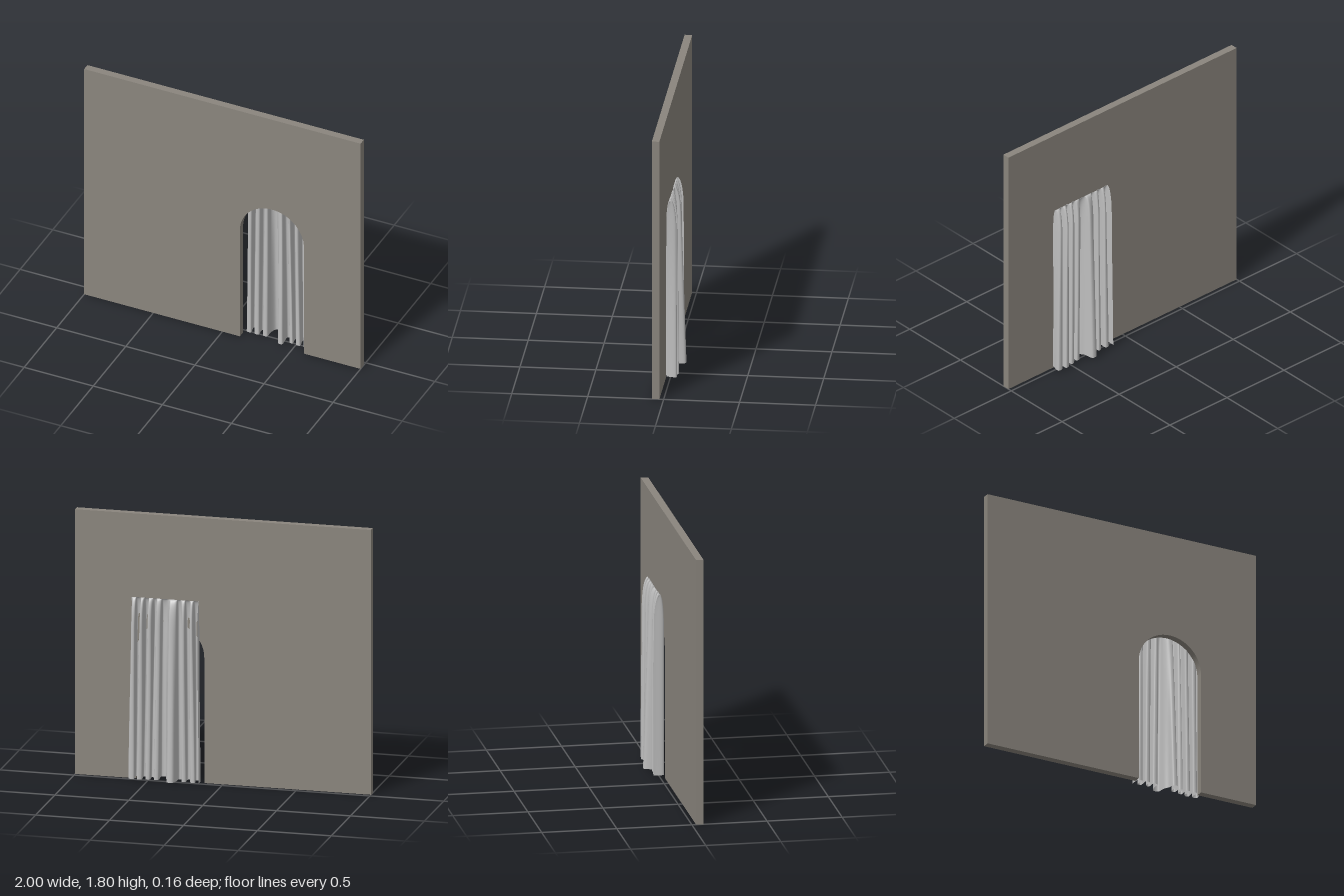
import * as THREE from 'three';

const wallMat = new THREE.MeshStandardMaterial({ color: 0x8a857d });
wallMat.name = 'warm grey plaster';
const clothMat = new THREE.MeshStandardMaterial({ color: 0xbebebe, side: THREE.DoubleSide });
clothMat.name = 'light grey cloth';

// Wall slab with an arched doorway cut up from the floor
function makeWall() {
  const left = 0.127, right = 0.59, spring = 0.85;
  const s = new THREE.Shape();
  s.moveTo(-1, 0);
  s.lineTo(left, 0);
  s.lineTo(left, spring);
  s.absarc((left + right) / 2, spring, (right - left) / 2, Math.PI, 0, true);
  s.lineTo(right, 0);
  s.lineTo(1, 0);
  s.lineTo(1, 1.8);
  s.lineTo(-1, 1.8);
  const geo = new THREE.ExtrudeGeometry(s, { depth: 0.05, bevelEnabled: false, curveSegments: 32 });
  geo.translate(0, 0, 0.028);
  const wall = new THREE.Mesh(geo, wallMat);
  wall.name = 'wall';
  return wall;
}

// Pleat crests along the hem as [x, z], alternating front and back
const hem = [
  [0.146, -0.045], [0.152, 0.025], [0.182, 0.026], [0.176, -0.034], [0.204, -0.036],
  [0.208, 0.027], [0.238, 0.026], [0.238, -0.028], [0.262, -0.034], [0.268, 0.022],
  [0.296, 0.022], [0.300, -0.030], [0.318, -0.074], [0.352, -0.074], [0.366, -0.012],
  [0.384, 0.018], [0.396, 0.062], [0.424, 0.062], [0.424, -0.024], [0.450, -0.030],
  [0.458, 0.020], [0.482, 0.026], [0.480, -0.034], [0.506, -0.038], [0.510, 0.028],
  [0.536, 0.028], [0.532, -0.042], [0.562, -0.050], [0.562, 0.028], [0.588, 0.028],
  [0.586, -0.040], [0.622, -0.042], [0.612, 0.024]
];

// One cross-section of the curtain; t runs from the hem (0) to the top (1)
function section(t) {
  const close = Math.sqrt(Math.max(0, 1 - Math.pow(Math.max(0, (t - 0.84) / 0.16), 2)));
  const pts = hem.map(([x, z], i) => {
    const even = 0.158 + 0.452 * i / (hem.length - 1);
    const sway = 0.004 * Math.sin(i * 1.9 + t * 3) * t;
    const limit = z > 0 ? 0.027 : -0.042;
    const topZ = z > 0 ? Math.min(z, limit) : Math.max(z * 0.9, limit);
    return new THREE.Vector3(
      THREE.MathUtils.lerp(x, even, t * 0.75) + sway,
      0.015 + 1.225 * t,
      THREE.MathUtils.lerp(z, topZ, Math.min(1, t * 1.15)) * close
    );
  });
  return new THREE.CatmullRomCurve3(pts, false, 'centripetal');
}

// Pleated cloth, gathered to a line at the top
function makeCurtain() {
  const cols = (hem.length - 1) * 8, rows = 36;
  const pos = [], idx = [];
  for (let r = 0; r <= rows; r++) {
    const curve = section(1 - Math.pow(1 - r / rows, 1.8));
    for (let c = 0; c <= cols; c++) pos.push(...curve.getPoint(c / cols).toArray());
  }
  for (let r = 0; r < rows; r++) {
    for (let c = 0; c < cols; c++) {
      const a = r * (cols + 1) + c, b = a + cols + 1;
      idx.push(a, a + 1, b, a + 1, b + 1, b);
    }
  }
  const geo = new THREE.BufferGeometry();
  geo.setAttribute('position', new THREE.Float32BufferAttribute(pos, 3));
  geo.setIndex(idx);
  geo.computeVertexNormals();
  const curtain = new THREE.Mesh(geo, clothMat);
  curtain.name = 'curtain';
  return curtain;
}

export function createModel() {
  const model = new THREE.Group();
  model.name = 'curtainedDoorway';
  model.add(makeWall(), makeCurtain());
  return model;
}
